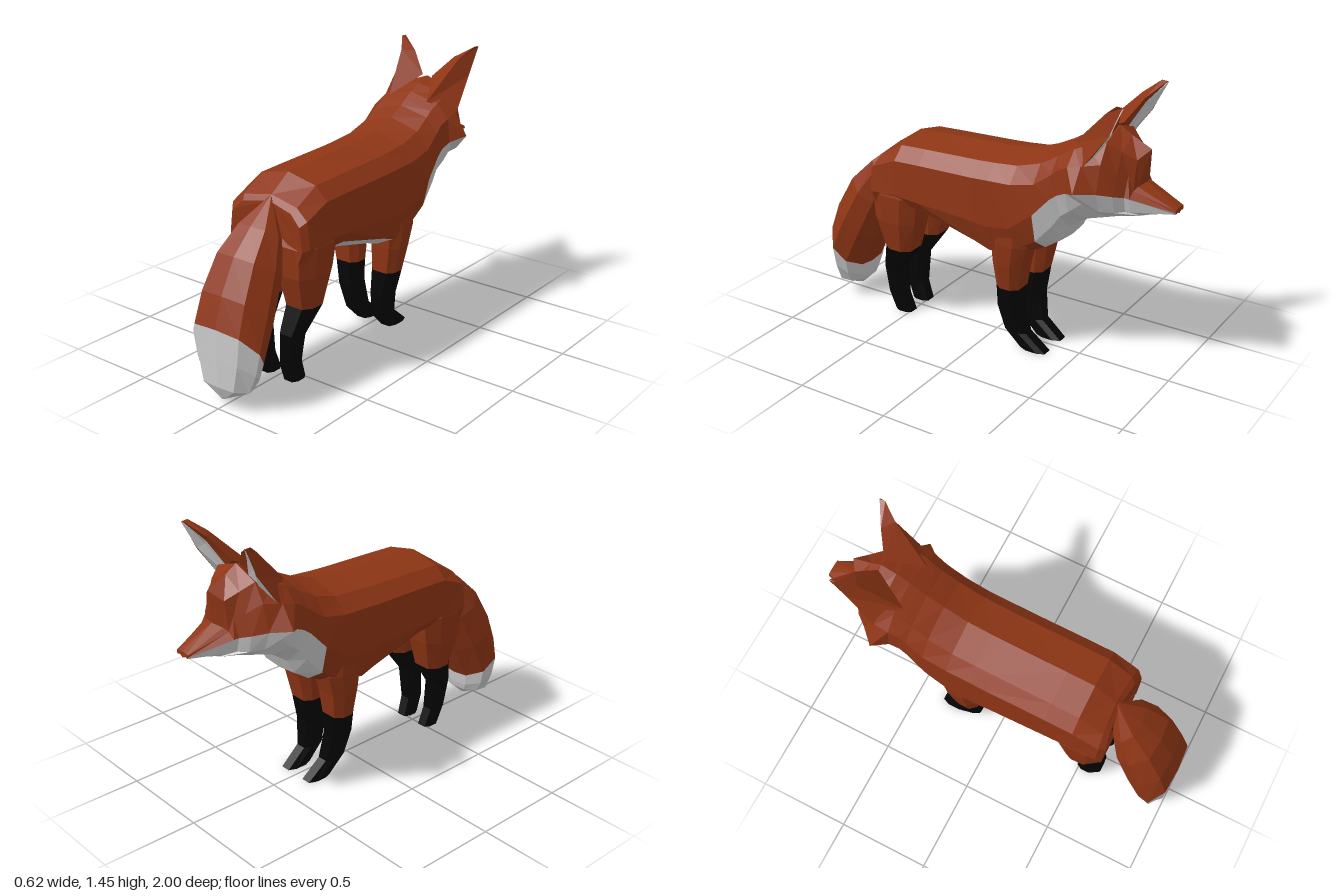
import * as THREE from 'three';

const material = (color) => new THREE.MeshStandardMaterial({ color, flatShading: true, side: THREE.DoubleSide });
const V = (x, y, z) => new THREE.Vector3(x, y, z);

// Skins closed rings of points; pick(i, j) names the colour of each panel
function loft(name, rings, mats, pick) {
  const tris = [];
  const n = rings[0].length;
  const add = (key, a, b, c) => tris.push({ key, p: [a, b, c] });
  for (let i = 0; i < rings.length - 1; i++) {
    for (let j = 0; j < n; j++) {
      const k = (j + 1) % n, key = pick(i, j);
      const [a, b, c, d] = [rings[i][j], rings[i][k], rings[i + 1][k], rings[i + 1][j]];
      // mirror the diagonal on the two halves
      if (j < n / 2) { add(key, a, b, c); add(key, a, c, d); }
      else { add(key, a, b, d); add(key, b, c, d); }
    }
  }
  const last = rings.length - 1;
  for (let j = 1; j < n - 1; j++) {
    add(pick(0, 0), rings[0][0], rings[0][j + 1], rings[0][j]);
    add(pick(last - 1, 0), rings[last][0], rings[last][j], rings[last][j + 1]);
  }
  // make all faces point outward
  const c0 = rings[0][0];
  let volume = 0;
  for (const { p } of tris) {
    const [a, b, c] = p.map((q) => q.clone().sub(c0));
    volume += a.dot(b.cross(c));
  }
  const group = new THREE.Group();
  group.name = name;
  for (const key of new Set(tris.map((t) => t.key))) {
    const pts = tris.filter((t) => t.key === key)
      .flatMap(({ p }) => (volume < 0 ? [p[0], p[2], p[1]] : p));
    const geo = new THREE.BufferGeometry().setFromPoints(pts);
    geo.computeVertexNormals();
    const mesh = new THREE.Mesh(geo, mats[key]);
    mesh.name = `${name}-${key}`;
    group.add(mesh);
  }
  return group;
}

// Completes a half section (top centre to bottom centre) with its mirror image
const mirrorRing = (half) => [
  ...half,
  ...half.slice(1, -1).reverse().map((p) => V(-p.x, p.y, p.z)),
];

export function createModel() {
  const fox = new THREE.Group();
  fox.name = 'fox';
  const mats = { rust: material(0x8e3515), white: material(0xcccccc), black: material(0x040404) };

  // Body, neck and head: z, half width, top, shoulder, side, low, bottom,
  // shoulder width factor, backward sweep of the sides
  const sections = [
    [0.61, 0.225, 0.93, 0.85, 0.73, 0.65, 0.6, 0.93, 0.03],
    [0.59, 0.247, 0.955, 0.875, 0.74, 0.66, 0.61, 0.94, 0.02],
    [0.47, 0.25, 1.037, 0.935, 0.75, 0.69, 0.64],
    [0.32, 0.25, 1.043, 0.94, 0.74, 0.685, 0.62],
    [0, 0.25, 1.055, 0.945, 0.72, 0.6, 0.54],
    [-0.09, 0.25, 1.06, 0.95, 0.71, 0.57, 0.51],
    [-0.22, 0.25, 1.075, 0.955, 0.73, 0.6, 0.54],
    [-0.35, 0.25, 1.12, 0.985, 0.83, 0.68, 0.6],
    [-0.44, 0.242, 1.165, 1.05, 0.93, 0.78, 0.66],
    [-0.48, 0.24, 1.19, 1.085, 0.96, 0.84, 0.74],
    [-0.53, 0.25, 1.22, 1.11, 0.985, 0.88, 0.785],
    [-0.6, 0.31, 1.255, 1.13, 1.015, 0.935, 0.825, 0.76],
    [-0.68, 0.23, 1.278, 1.14, 1.005, 0.91, 0.838, 0.85],
    [-0.74, 0.18, 1.24, 1.09, 0.99, 0.9, 0.85, 0.78],
    [-0.845, 0.13, 1.19, 1.07, 0.975, 0.9, 0.865, 0.72, 0.07],
    [-0.83, 0.125, 1.025, 1.0, 0.972, 0.9, 0.865, 0.7, 0.03],
    [-1, 0.045, 0.935, 0.93, 0.92, 0.91, 0.905],
  ];
  const bodyRings = sections.map(([z, w, top, sh, mid, low, bot, f = 0.95, sweep = 0]) => mirrorRing([
    V(0, top, z),
    V(w * f * 0.71, top - 0.36 * (top - sh), z + sweep * 0.6),
    V(w * f, sh, z + sweep),
    V(w, mid, z + sweep),
    V(Math.min(w * 0.86, 0.215), low, z + sweep),
    V(w * 0.45, bot + 0.01, z),
    V(0, bot, z),
  ]));
  fox.add(loft('body', bodyRings, mats, (i, j) => {
    const side = j < 6 ? j : 11 - j;
    const throat = i >= 7 && side >= 3;
    const breast = i === 6 && side >= 5;
    const belly = i >= 3 && i <= 4 && side >= 4;
    return throat || breast || belly ? 'white' : 'rust';
  }));

  // Tail: half width, upper edge (z, y), lower edge (z, y)
  const tail = [
    [0.01, 0.6, 0.95, 0.59, 0.92],
    [0.125, 0.74, 0.84, 0.61, 0.74],
    [0.175, 0.86, 0.725, 0.64, 0.58],
    [0.203, 0.95, 0.56, 0.735, 0.37],
    [0.213, 1, 0.41, 0.83, 0.185],
    [0.187, 1, 0.26, 0.84, 0.12],
    [0.145, 1, 0.115, 0.85, 0.085],
    [0.015, 0.97, 0.04, 0.9, 0.035],
  ];
  const tailRings = tail.map(([w, z0, y0, z1, y1]) => mirrorRing(
    [[0, 0], [0.66, 0.05], [1, 0.4], [0.85, 0.75], [0.4, 0.97], [0, 1]].map(
      ([x, t]) => V(x * w, y0 + (y1 - y0) * t, z0 + (z1 - z0) * t))));
  fox.add(loft('tail', tailRings, mats, (i) => (i >= 4 ? 'white' : 'rust')));

  // Legs: y, front z, back z, inner x, outer x
  const frontLeg = [
    [0.75, -0.29, -0.09, 0.06, 0.235],
    [0.62, -0.29, -0.085, 0.04, 0.235],
    [0.5, -0.255, -0.09, 0.04, 0.222],
    [0.36, -0.23, -0.1, 0.045, 0.195],
    [0.23, -0.22, -0.092, 0.045, 0.165],
    [0.09, -0.245, -0.12, 0.04, 0.133],
    [0, -0.355, -0.21, 0.038, 0.125],
  ];
  const hindLeg = [
    [0.8, 0.4, 0.6, 0.06, 0.235],
    [0.73, 0.36, 0.638, 0.03, 0.25],
    [0.58, 0.385, 0.635, 0.03, 0.24],
    [0.41, 0.43, 0.59, 0.045, 0.208],
    [0.27, 0.525, 0.63, 0.045, 0.165],
    [0.1, 0.525, 0.625, 0.04, 0.133],
    [0, 0.49, 0.59, 0.038, 0.122],
  ];
  const outline = [[0.2, 0], [0.8, 0], [1, 0.28], [1, 0.72], [0.8, 1], [0.2, 1], [0, 0.72], [0, 0.28]];
  const legRings = (rows, s) => rows.map(([y, z0, z1, x0, x1]) => outline.map(
    ([u, v]) => V(s * (x0 + (x1 - x0) * u), y, z0 + (z1 - z0) * v)));

  // Ears: inner edge, back, outer edge and hollow front at base, middle and tip
  const ear = [
    [[0.03, 1.28, -0.68], [0.12, 1.19, -0.5], [0.237, 1.13, -0.61], [0.14, 1.2, -0.655]],
    [[0.125, 1.385, -0.74], [0.185, 1.39, -0.695], [0.226, 1.3, -0.735], [0.18, 1.33, -0.71]],
    [[0.232, 1.448, -0.8], [0.234, 1.45, -0.77], [0.238, 1.446, -0.8], [0.235, 1.446, -0.795]],
  ];

  for (const [s, label] of [[1, 'left'], [-1, 'right']]) {
    const sock = (i) => (i >= 3 ? 'black' : 'rust');
    fox.add(loft(`${label}FrontLeg`, legRings(frontLeg, s), mats, sock));
    fox.add(loft(`${label}HindLeg`, legRings(hindLeg, s), mats, sock));

    const rings = ear.map((ring) => ring.map(([x, y, z]) => V(s * x, y, z)));
    fox.add(loft(`${label}Ear`, rings, mats, () => 'rust'));

    // Pale lining just in front of the hollow
    const lining = rings.map(([inner, , outer, hollow]) =>
      [inner.clone().lerp(hollow, 0.5), hollow, outer.clone().lerp(hollow, 0.15)]
        .map((p) => V(p.x, p.y, p.z - 0.006)));
    const pts = [];
    for (let i = 0; i < 2; i++) {
      for (let j = 0; j < 2; j++) {
        const [a, b, c, d] = [lining[i][j], lining[i][j + 1], lining[i + 1][j + 1], lining[i + 1][j]];
        pts.push(...(s > 0 ? [a, c, b, a, d, c] : [a, b, c, a, c, d]));
      }
    }
    const geo = new THREE.BufferGeometry().setFromPoints(pts);
    geo.computeVertexNormals();
    const mesh = new THREE.Mesh(geo, mats.white);
    mesh.name = `${label}EarLining`;
    fox.add(mesh);
  }
  return fox;
}
